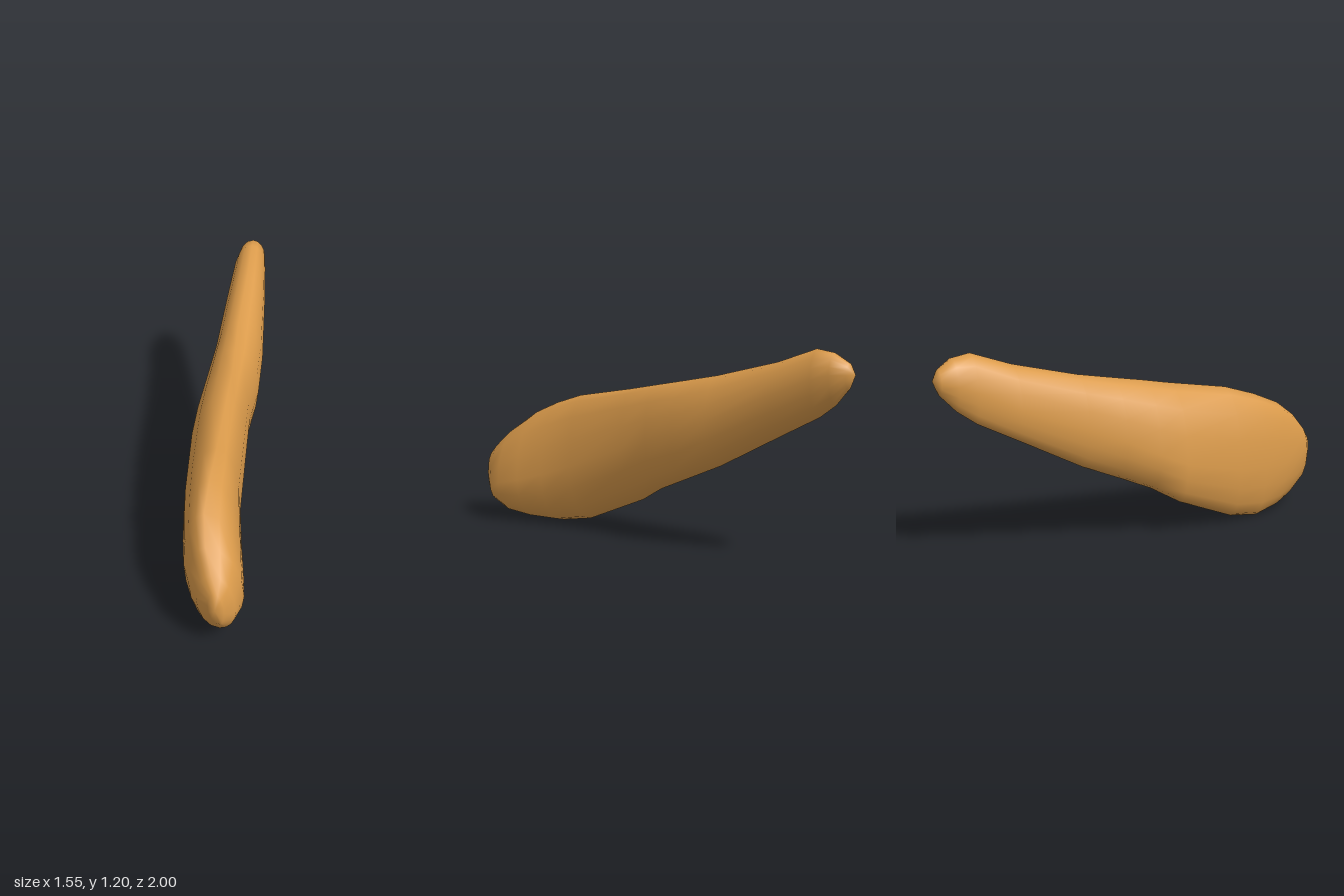
import * as THREE from 'three';

// Horizontal frame of the body: s runs along its length, t across it
const ALONG = new THREE.Vector3(0.6, 0, 0.8);
const ACROSS = new THREE.Vector3(0.8, 0, -0.6);
const place = (s, t, y) => [
  ALONG.x * s + ACROSS.x * t, y, ALONG.z * s + ACROSS.z * t,
];

// Cross-sections: s, top t, top y, bottom t, bottom y, near t, near y, far t, far y
const SECTIONS = [
  [-1.21, 0.00, 1.13, 0.00, 0.99, -0.05, 1.06, 0.05, 1.07],
  [-1.13, 0.01, 1.18, -0.03, 0.90, -0.08, 1.04, 0.085, 1.07],
  [-1.03, 0.01, 1.195, -0.05, 0.825, -0.10, 1.00, 0.095, 1.04],
  [-0.80, 0.00, 1.11, -0.06, 0.70, -0.13, 0.88, 0.11, 0.94],
  [-0.42, -0.02, 1.01, -0.07, 0.49, -0.165, 0.72, 0.125, 0.77],
  [-0.20, -0.02, 0.965, -0.07, 0.39, -0.20, 0.63, 0.117, 0.67],
  [0.00, -0.02, 0.925, -0.10, 0.30, -0.235, 0.53, 0.083, 0.62],
  [0.17, -0.03, 0.89, -0.16, 0.20, -0.25, 0.45, 0.08, 0.55],
  [0.55, -0.05, 0.82, -0.14, 0.035, -0.24, 0.35, 0.076, 0.40],
  [0.75, -0.07, 0.755, -0.13, 0.00, -0.22, 0.33, 0.10, 0.33],
  [0.92, -0.08, 0.68, -0.07, 0.015, -0.195, 0.32, 0.125, 0.28],
  [1.06, -0.06, 0.58, -0.01, 0.05, -0.15, 0.32, 0.14, 0.25],
  [1.16, -0.02, 0.48, 0.02, 0.11, -0.10, 0.32, 0.105, 0.23],
  [1.22, 0.00, 0.41, 0.03, 0.20, -0.035, 0.33, 0.05, 0.28],
];
const SIDES = 16;

// Closed loft through the sections with a single point at each end
function bodyGeometry() {
  const positions = [];
  const index = [];
  for (const [s, topT, topY, botT, botY, nearT, nearY, farT, farY] of SECTIONS) {
    for (let j = 0; j < SIDES; j++) {
      const a = (j / SIDES) * Math.PI * 2;
      const c = Math.cos(a);
      const h = Math.sin(a);
      const [poleT, poleY] = h >= 0 ? [topT, topY] : [botT, botY];
      const [sideT, sideY] = c >= 0 ? [farT, farY] : [nearT, nearY];
      const t = poleT + (sideT - poleT) * Math.abs(c);
      const y = sideY + (poleY - sideY) * Math.abs(h);
      positions.push(...place(s, t, y));
    }
  }
  const last = (SECTIONS.length - 1) * SIDES;
  const thinTip = positions.length / 3;
  const broadTip = thinTip + 1;
  positions.push(...place(-1.245, 0, 1.07), ...place(1.245, 0.005, 0.32));

  for (let j = 0; j < SIDES; j++) {
    const k = (j + 1) % SIDES;
    for (let r = 0; r < last; r += SIDES) {
      index.push(r + j, r + k, r + SIDES + j);
      index.push(r + k, r + SIDES + k, r + SIDES + j);
    }
    index.push(thinTip, k, j);
    index.push(broadTip, last + j, last + k);
  }

  const geometry = new THREE.BufferGeometry();
  geometry.setAttribute('position', new THREE.Float32BufferAttribute(positions, 3));
  geometry.setIndex(index);
  geometry.computeVertexNormals();
  return geometry;
}

export function createModel() {
  const golden = new THREE.MeshStandardMaterial({ color: 0xdb9b4b });
  golden.name = 'golden brown';

  const body = new THREE.Mesh(bodyGeometry(), golden);
  body.name = 'body';

  const model = new THREE.Group();
  model.name = 'flattened club shape';
  model.add(body);
  return model;
}
